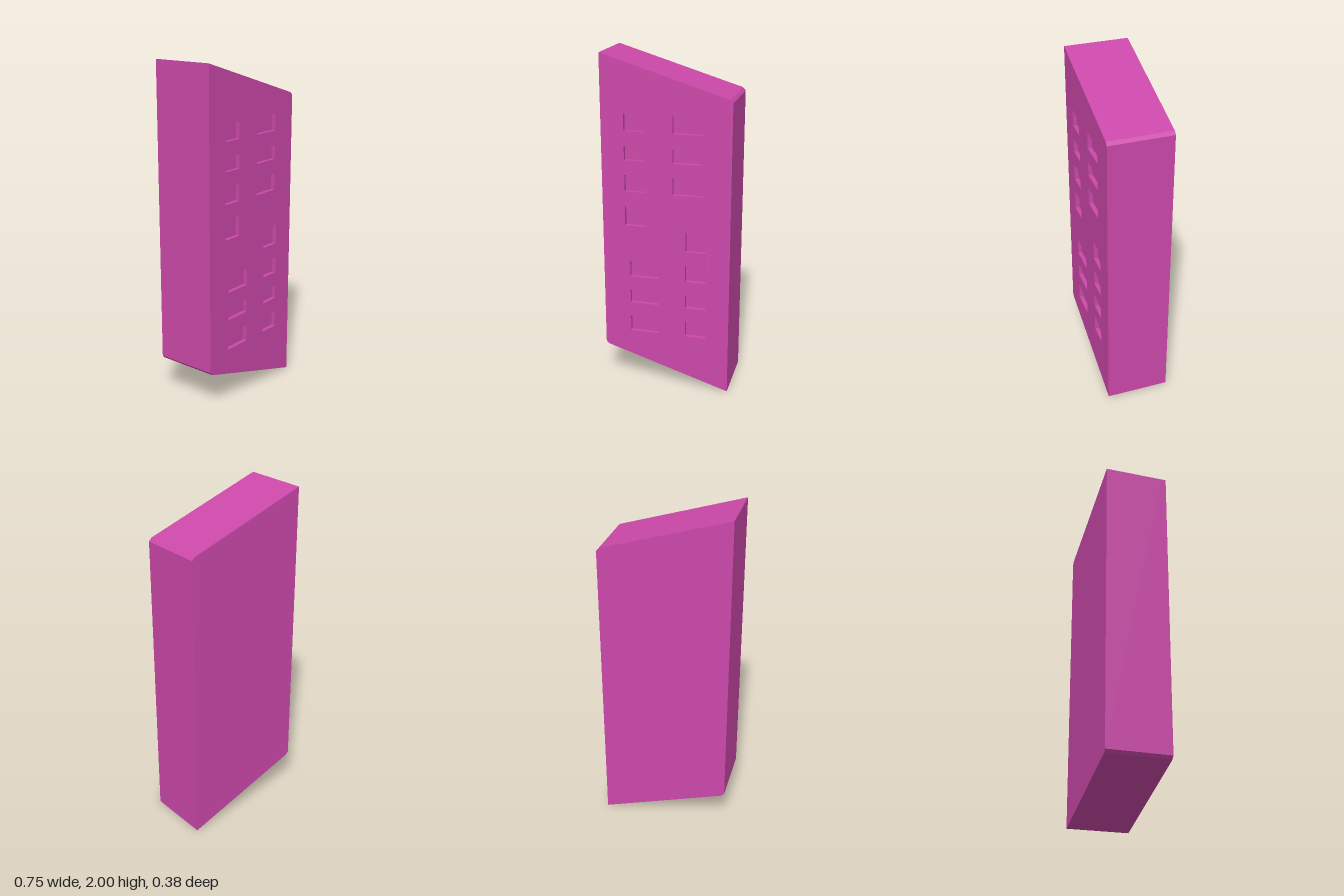
import * as THREE from 'three';

const HALF_DEPTH = 0.188;
const RECESS = 0.025;

// Slanted outline with one clipped corner at each end
function outline() {
  return new THREE.Shape([
    [0.377, 0], [0.377, 1.757], [0.36, 1.775], [-0.377, 2],
    [-0.377, 0.245], [-0.36, 0.227],
  ].map(([x, y]) => new THREE.Vector2(x, y)));
}

function rectangle(x0, x1, y0, y1) {
  return new THREE.Path([[x0, y0], [x0, y1], [x1, y1], [x1, y0]]
    .map(([x, y]) => new THREE.Vector2(x, y)));
}

export function createModel() {
  const group = new THREE.Group();
  group.name = 'slantedPanel';
  const material = new THREE.MeshStandardMaterial({ color: 0xcb48a9, flatShading: true });

  const addSlab = (name, shape, z, depth) => {
    const geometry = new THREE.ExtrudeGeometry(shape, { depth, bevelEnabled: false });
    const mesh = new THREE.Mesh(geometry, material);
    mesh.name = name;
    mesh.position.z = z;
    group.add(mesh);
  };

  // Upper windows; the lower set is the same pattern turned half way round
  const rows = [[1.569, 1.667], [1.4, 1.482], [1.215, 1.313]];
  const windows = [[-0.243, -0.12, 1.009, 1.127]];
  for (const [y0, y1] of rows) {
    windows.push([-0.243, -0.12, y0, y1], [0.041, 0.213, y0, y1]);
  }

  const front = outline();
  for (const [x0, x1, y0, y1] of windows) {
    front.holes.push(rectangle(x0, x1, y0, y1));
    front.holes.push(rectangle(-0.004 - x1, -0.004 - x0, 2.003 - y1, 2.003 - y0));
  }

  // Solid body, then the front layer pierced by the shallow windows
  addSlab('body', outline(), -HALF_DEPTH, 2 * HALF_DEPTH - RECESS);
  addSlab('frontWithWindows', front, HALF_DEPTH - RECESS, RECESS);
  return group;
}
